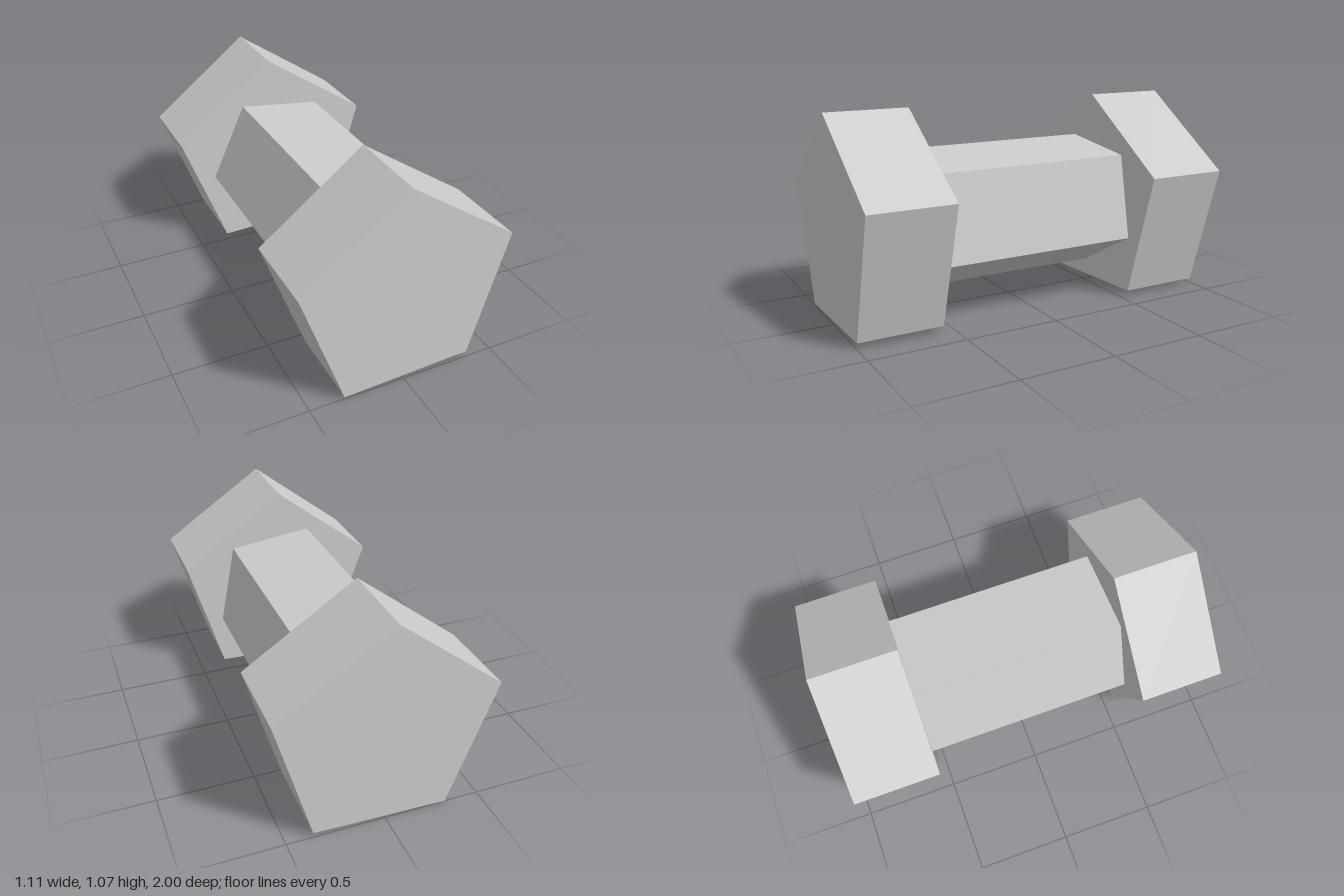
import * as THREE from 'three';

const material = new THREE.MeshStandardMaterial({ color: 0xcccccc, flatShading: true });

// Pentagonal prism along z, with one corner at the given angle in degrees
function prism(name, radius, cornerAngle, zBack, zFront) {
  const corners = [];
  for (let i = 0; i < 5; i++) {
    const a = THREE.MathUtils.degToRad(cornerAngle + i * 72);
    corners.push(new THREE.Vector2(Math.cos(a) * radius, Math.sin(a) * radius));
  }
  const geometry = new THREE.ExtrudeGeometry(new THREE.Shape(corners), {
    depth: zFront - zBack,
    bevelEnabled: false,
  });
  const mesh = new THREE.Mesh(geometry, material);
  mesh.name = name;
  mesh.position.set(0.004, 0.49, zBack);
  return mesh;
}

export function createModel() {
  const group = new THREE.Group();
  group.name = 'dumbbell';
  group.add(
    // End weights, the front one slightly smaller
    prism('frontWeight', 0.576, 92, 0.558, 1),
    prism('backWeight', 0.586, 92, -1, -0.553),
    // Grip, twisted relative to the weights
    prism('handle', 0.387, 47, -0.553, 0.558),
  );
  return group;
}
